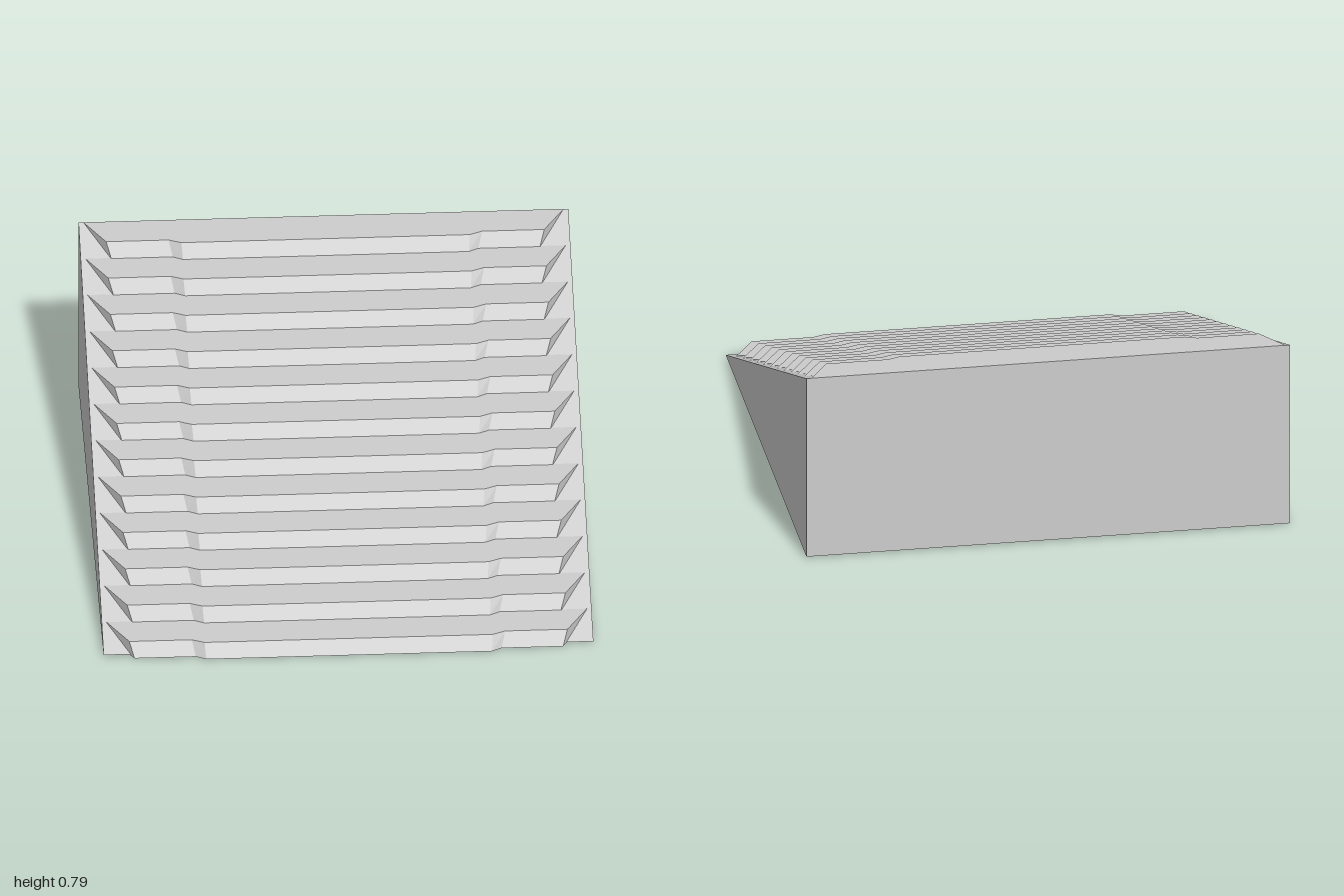
import * as THREE from 'three';

const STEPS = 12, RUN = 0.1645, RISE = 0.0655, TOP = 0.786;

// Half outline [x, z] mirrored into a closed loop at height y(z)
function loop(half, height) {
  const pts = [...half, ...half.slice().reverse().map(([x, z]) => [-x, z])];
  return pts.map(([x, z]) => [x, height(z), z]);
}

// Solid between an upper and a lower outline with matching points
function loft(upper, lower) {
  const n = upper.length, pos = [];
  const tri = (a, b, c) => pos.push(...a, ...b, ...c);
  const caps = THREE.ShapeUtils.triangulateShape(upper.map(([x, , z]) => new THREE.Vector2(x, -z)), []);
  for (const [a, b, c] of caps) {
    // wind each cap triangle so the upper one faces up
    const [p, q, r] = [upper[a], upper[b], upper[c]];
    const up = (q[2] - p[2]) * (r[0] - p[0]) - (q[0] - p[0]) * (r[2] - p[2]) > 0;
    const [j, k] = up ? [b, c] : [c, b];
    tri(upper[a], upper[j], upper[k]);
    tri(lower[a], lower[k], lower[j]);
  }
  for (let i = 0; i < n; i++) {
    const j = (i + 1) % n;
    tri(upper[i], upper[j], lower[j]);
    tri(upper[i], lower[j], lower[i]);
  }
  const g = new THREE.BufferGeometry();
  g.setAttribute('position', new THREE.Float32BufferAttribute(pos, 3));
  g.computeVertexNormals();
  return g;
}

export function createModel() {
  const model = new THREE.Group();
  model.name = 'steppedRamp';
  const grey = new THREE.MeshStandardMaterial({ color: 0xcccccc });
  grey.name = 'plainGrey';

  // Wedge body: side profile extruded across the width
  const profile = new THREE.Shape([
    new THREE.Vector2(-0.956, 0.005),
    new THREE.Vector2(1, 0.005),
    new THREE.Vector2(1, TOP),
  ]);
  const wedgeGeo = new THREE.ExtrudeGeometry(profile, { depth: 1.954, bevelEnabled: false });
  wedgeGeo.translate(0, 0, -0.977).rotateY(Math.PI / 2);
  const wedge = new THREE.Mesh(wedgeGeo, grey);
  wedge.name = 'rampBody';
  model.add(wedge);

  // Step: tapered sides, a nose that projects in the middle, raked front
  const treadHalf = [[0.958, 0], [0.874, 0.138], [0.625, 0.138], [0.575, 0.159]];
  const baseHalf = [[0.945, 0.022], [0.855, 0.169], [0.61, 0.169], [0.57, 0.19]];
  // outlines run from the back left, round the nose, to the back right
  const upper = loop(treadHalf, z => -0.035 * z);
  const lower = loop(baseHalf, () => -RISE);
  const stepGeo = loft(upper, lower);

  for (let i = 0; i < STEPS; i++) {
    const step = new THREE.Mesh(stepGeo, grey);
    step.name = `step${i + 1}`;
    step.position.set(0, TOP - i * RISE, -1 + i * RUN);
    model.add(step);
  }
  return model;
}
